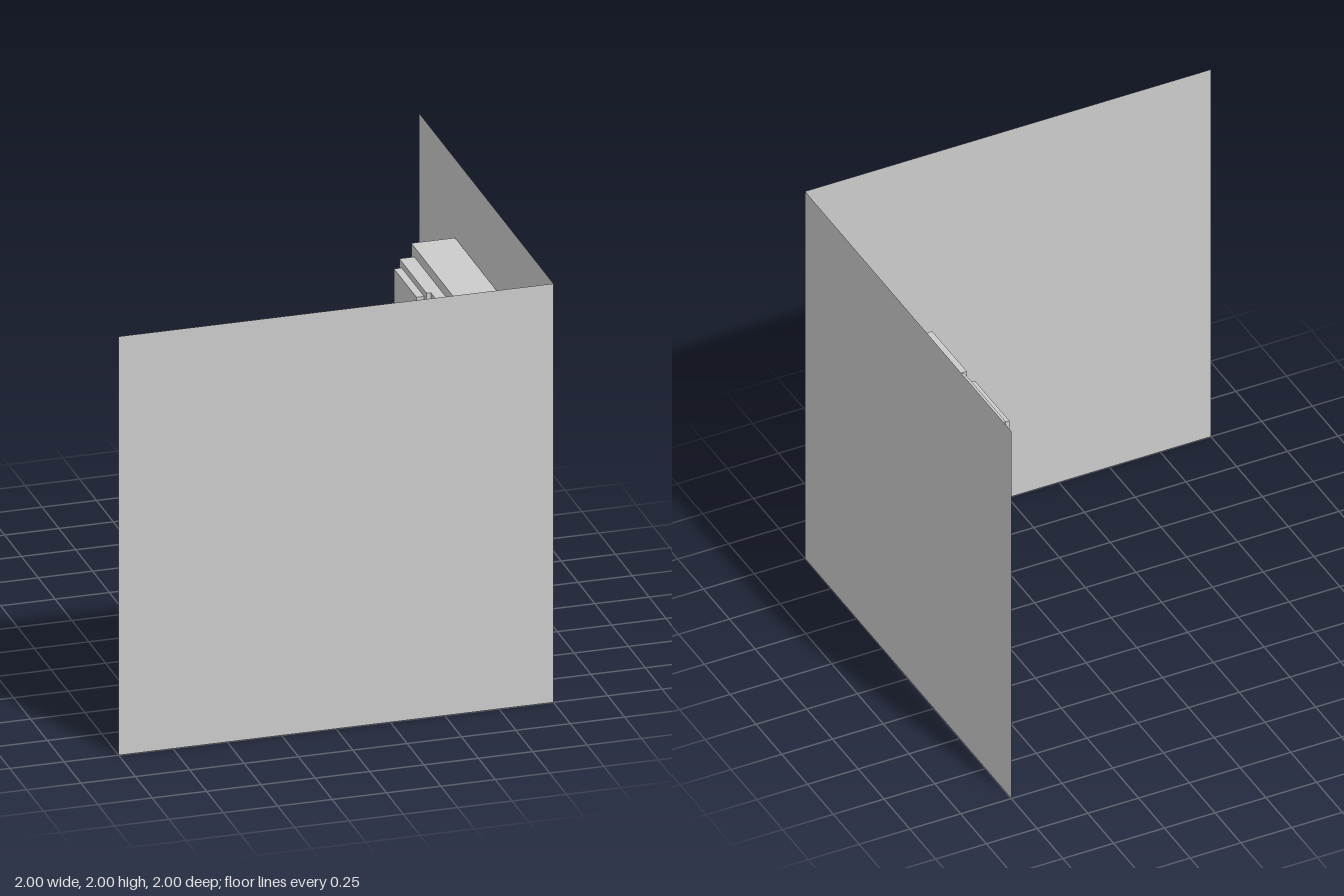
import * as THREE from 'three';

export function createModel() {
  const group = new THREE.Group();
  const solid = new THREE.MeshStandardMaterial({ color: 0xcccccc, flatShading: true });
  const sheet = new THREE.MeshStandardMaterial({ color: 0xcccccc, side: THREE.DoubleSide });

  // Two thin walls meeting at a corner
  const wall = (name, x, z, turn) => {
    const mesh = new THREE.Mesh(new THREE.PlaneGeometry(2, 2), sheet);
    mesh.name = name;
    mesh.position.set(x, 1, z);
    mesh.rotation.y = turn;
    group.add(mesh);
  };
  wall('frontWall', 0, 1, 0);
  wall('sideWall', 1, 0, Math.PI / 2);

  // Box given by its lower and upper limits on each axis
  const cabinet = new THREE.Group();
  cabinet.name = 'wallCabinet';
  const block = (name, [x0, x1], [y0, y1], [z0, z1]) => {
    const mesh = new THREE.Mesh(new THREE.BoxGeometry(x1 - x0, y1 - y0, z1 - z0), solid);
    mesh.name = name;
    mesh.position.set((x0 + x1) / 2, (y0 + y1) / 2, (z0 + z1) / 2);
    cabinet.add(mesh);
  };

  // Cabinet body on the inside of the side wall
  block('cabinetBody', [0.797, 0.998], [0.725, 1.625], [-0.456, 0.448]);

  // Two doors, one slightly thicker, each with a raised panel
  const doors = [
    { side: 'back', face: 0.728, z: [-0.411, -0.006], panelZ: [-0.377, -0.043] },
    { side: 'front', face: 0.748, z: [-0.006, 0.404], panelZ: [0.036, 0.37] },
  ];
  for (const { side, face, z, panelZ } of doors) {
    block(side + 'Door', [face, 0.797], [0.767, 1.578], z);
    block(side + 'DoorPanel', [0.693, face], [0.805, 1.548], panelZ);
  }
  group.add(cabinet);
  return group;
}
